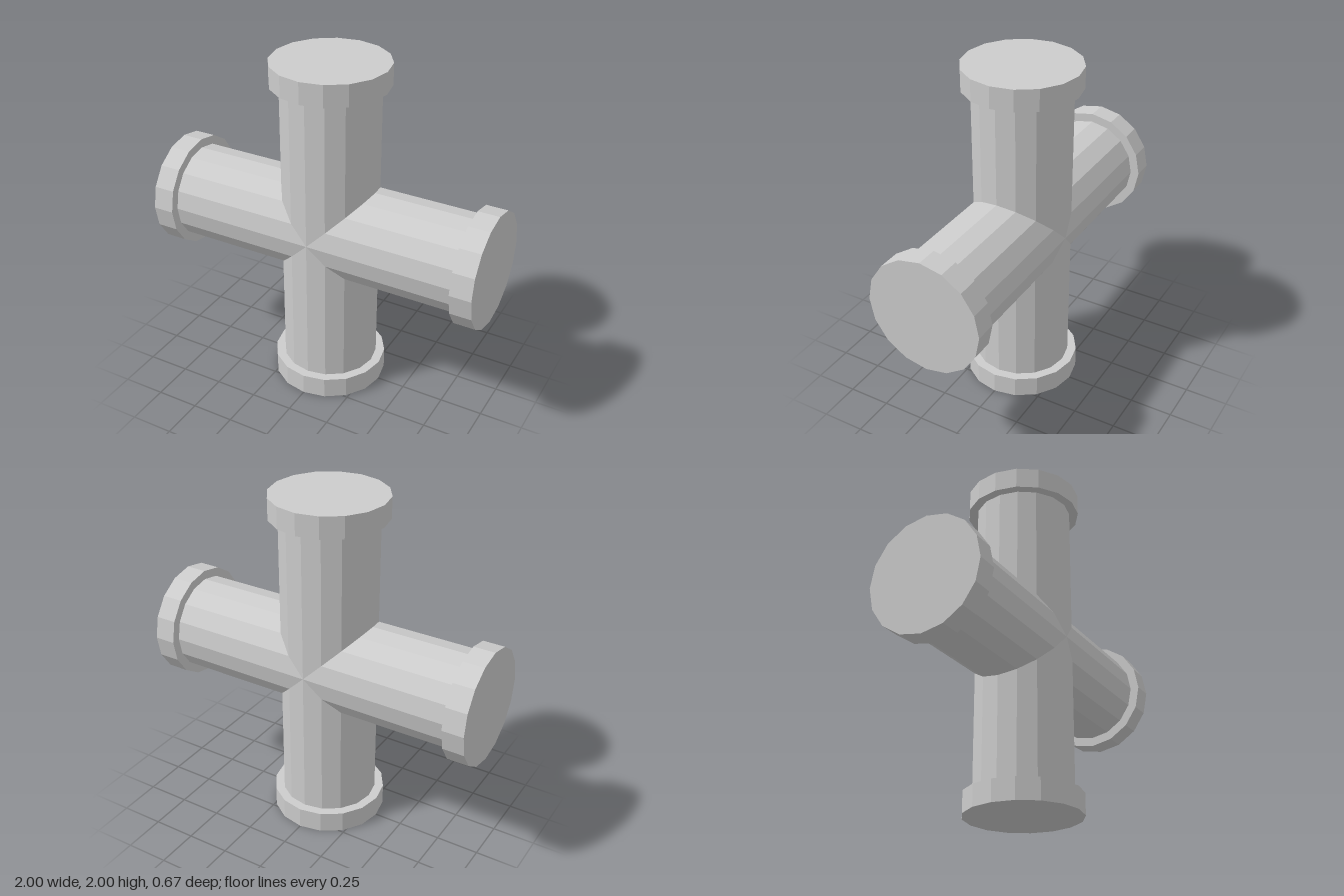
import * as THREE from 'three';

const SIDES = 16;
const PIPE_RADIUS = 0.28;
const CAP_RADIUS = 0.333;
const CAP_LENGTH = 0.125;

// Open pipe along +y whose inner end is mitred at 45 degrees to meet its neighbours
function mitredPipe() {
  const length = 1 - CAP_LENGTH;
  const geometry = new THREE.CylinderGeometry(PIPE_RADIUS, PIPE_RADIUS, length, SIDES, 1, true);
  geometry.translate(0, length / 2, 0);
  const p = geometry.attributes.position;
  for (let i = 0; i < p.count; i++) {
    if (p.getY(i) < 0.01) p.setY(i, Math.abs(p.getX(i)));
  }
  geometry.computeVertexNormals();
  return geometry;
}

export function createModel() {
  const model = new THREE.Group();
  model.name = 'crossPipe';
  const grey = new THREE.MeshStandardMaterial({ color: 0xcccccc });
  grey.name = 'light grey';
  grey.flatShading = true;

  const pipeGeometry = mitredPipe();
  const capGeometry = new THREE.CylinderGeometry(CAP_RADIUS, CAP_RADIUS, CAP_LENGTH, SIDES);
  capGeometry.translate(0, 1 - CAP_LENGTH / 2, 0);

  // Four identical arms around the centre, each a pipe with an end cap
  ['top', 'right', 'bottom', 'left'].forEach((side, i) => {
    const arm = new THREE.Group();
    arm.name = side + 'Arm';
    const pipe = new THREE.Mesh(pipeGeometry, grey);
    pipe.name = side + 'Pipe';
    const cap = new THREE.Mesh(capGeometry, grey);
    cap.name = side + 'EndCap';
    arm.add(pipe, cap);
    arm.position.y = 1;
    arm.rotation.z = (i * Math.PI) / 2;
    model.add(arm);
  });
  return model;
}
